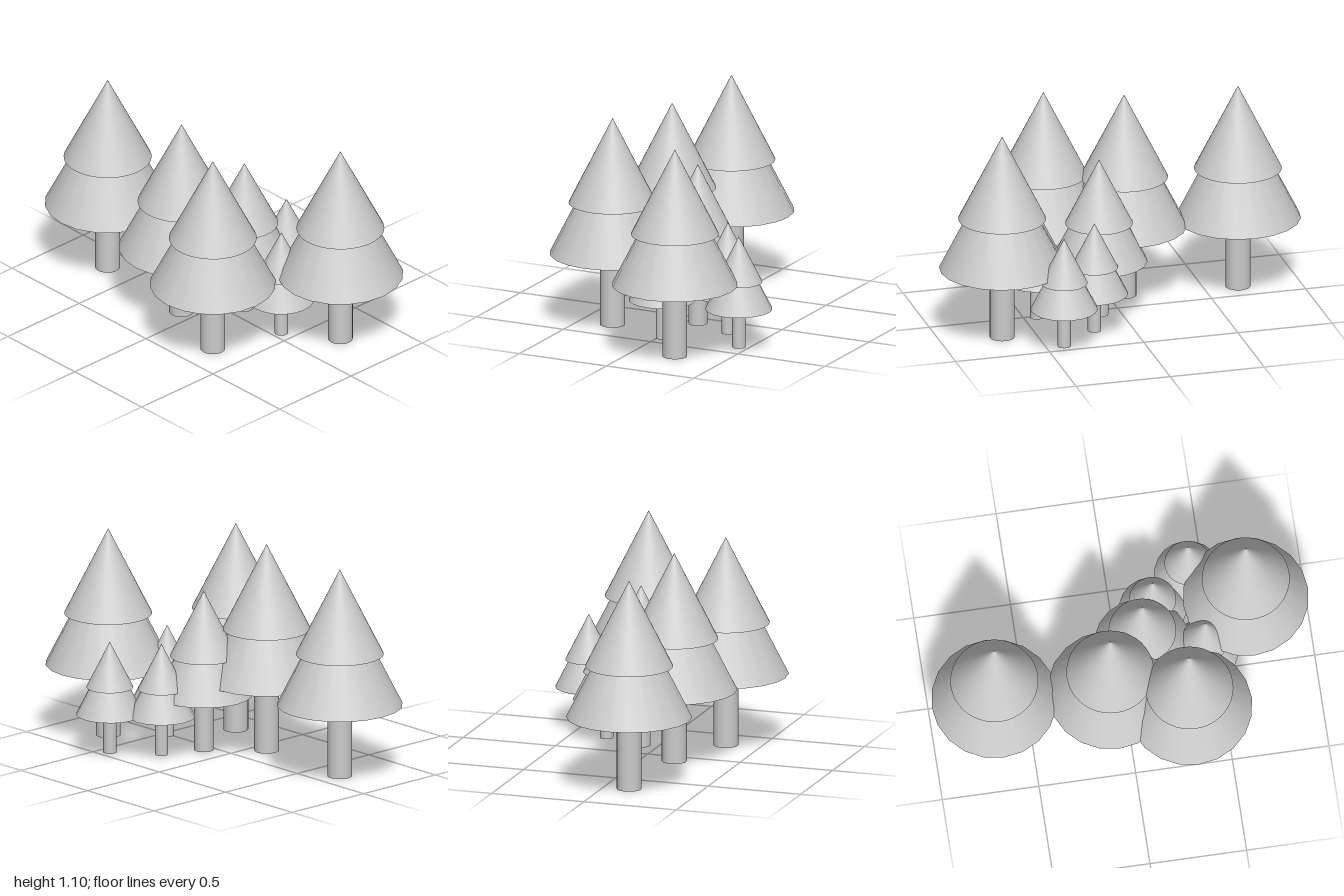
import * as THREE from 'three';

export function createModel() {
  const grove = new THREE.Group();
  grove.name = 'grove';
  const material = new THREE.MeshStandardMaterial({ color: 0xcccccc });

  // Full-size parts, shared by every tree: [name, geometry, base height, height]
  const parts = [
    ['trunk', new THREE.CylinderGeometry(0.064, 0.064, 0.39, 20), 0, 0.39],
    ['lowerBranches', new THREE.ConeGeometry(0.323, 0.64, 20), 0.38, 0.64],
    ['upperBranches', new THREE.ConeGeometry(0.225, 0.45, 40), 0.65, 0.45],
  ];

  function addTree(name, x, y, z, scale) {
    const tree = new THREE.Group();
    tree.name = name;
    for (const [partName, geometry, base, height] of parts) {
      const mesh = new THREE.Mesh(geometry, material);
      mesh.name = partName;
      mesh.position.y = base + height / 2;
      tree.add(mesh);
    }
    tree.position.set(x, y, z);
    tree.scale.setScalar(scale);
    grove.add(tree);
  }

  // Tall trees
  for (const [x, z] of [[-0.317, 0.305], [0.229, 0.677], [-0.172, -0.083], [-0.133, -0.677]])
    addTree('tallTree', x, 0, z, 1);

  // Medium tree
  addTree('mediumTree', 0.078, 0.01, 0.12, 0.77);

  // Saplings
  for (const [x, z] of [[0.462, 0.413], [0.294, 0.205], [0.037, 0.44]])
    addTree('sapling', x, 0.01, z, 0.535);

  return grove;
}
